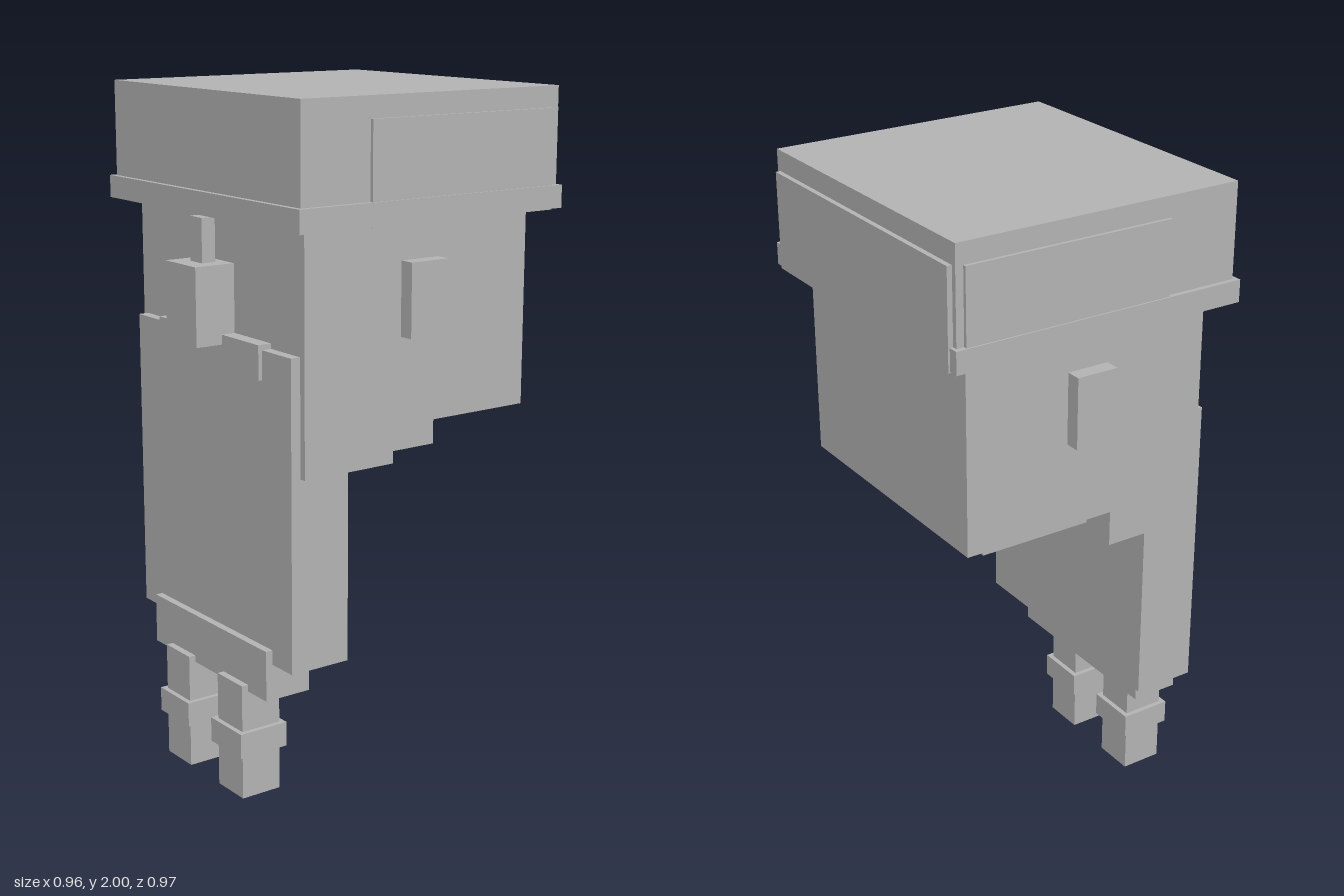
import * as THREE from 'three';

export function createModel() {
  const model = new THREE.Group();
  const grey = new THREE.MeshStandardMaterial({ color: 0xb2b2b2 });
  grey.name = 'plain grey';

  // Box given by its extents on each axis
  function block(name, [x0, x1], [y0, y1], [z0, z1]) {
    const mesh = new THREE.Mesh(new THREE.BoxGeometry(x1 - x0, y1 - y0, z1 - z0), grey);
    mesh.position.set((x0 + x1) / 2, (y0 + y1) / 2, (z0 + z1) / 2);
    mesh.name = name;
    model.add(mesh);
  }

  // The same box on both sides
  function pair(name, [x0, x1], y, z) {
    block(name + 'Left', [x0, x1], y, z);
    block(name + 'Right', [-x1, -x0], y, z);
  }

  // Cap with brim and raised side and back panels
  block('capCrown', [-0.465, 0.465], [1.66, 2], [-0.47, 0.41]);
  block('capBrim', [-0.48, 0.48], [1.66, 1.725], [-0.48, 0.425]);
  pair('capSidePanel', [0.46, 0.475], [1.657, 1.94], [-0.447, 0.187]);
  block('capBackPanel', [-0.45, 0.45], [1.657, 1.94], [-0.485, -0.465]);

  // Head
  block('head', [-0.41, 0.41], [1.09, 1.665], [-0.41, 0.36]);
  pair('sideburn', [0.3, 0.41], [0.985, 1.09], [0.06, 0.36]);
  pair('ear', [0.4, 0.455], [1.34, 1.55], [-0.09, 0.037]);
  block('neck', [-0.22, 0.22], [0.955, 1.1], [-0.24, 0.162]);

  // Face
  block('nose', [-0.077, 0.077], [1.307, 1.53], [0.35, 0.485]);
  block('noseBridge', [-0.03, 0.03], [1.53, 1.655], [0.39, 0.433]);
  block('moustache', [-0.255, 0.255], [1.237, 1.335], [0.35, 0.402]);

  // Body
  block('torso', [-0.39, 0.39], [0.43, 1.32], [0.2, 0.39]);
  block('hips', [-0.295, 0.295], [0.325, 0.473], [0.265, 0.412]);

  // Legs with cuffs
  pair('leg', [0.077, 0.203], [0, 0.345], [0.305, 0.433]);
  pair('cuff', [0.062, 0.218], [0.133, 0.206], [0.29, 0.448]);

  return model;
}
